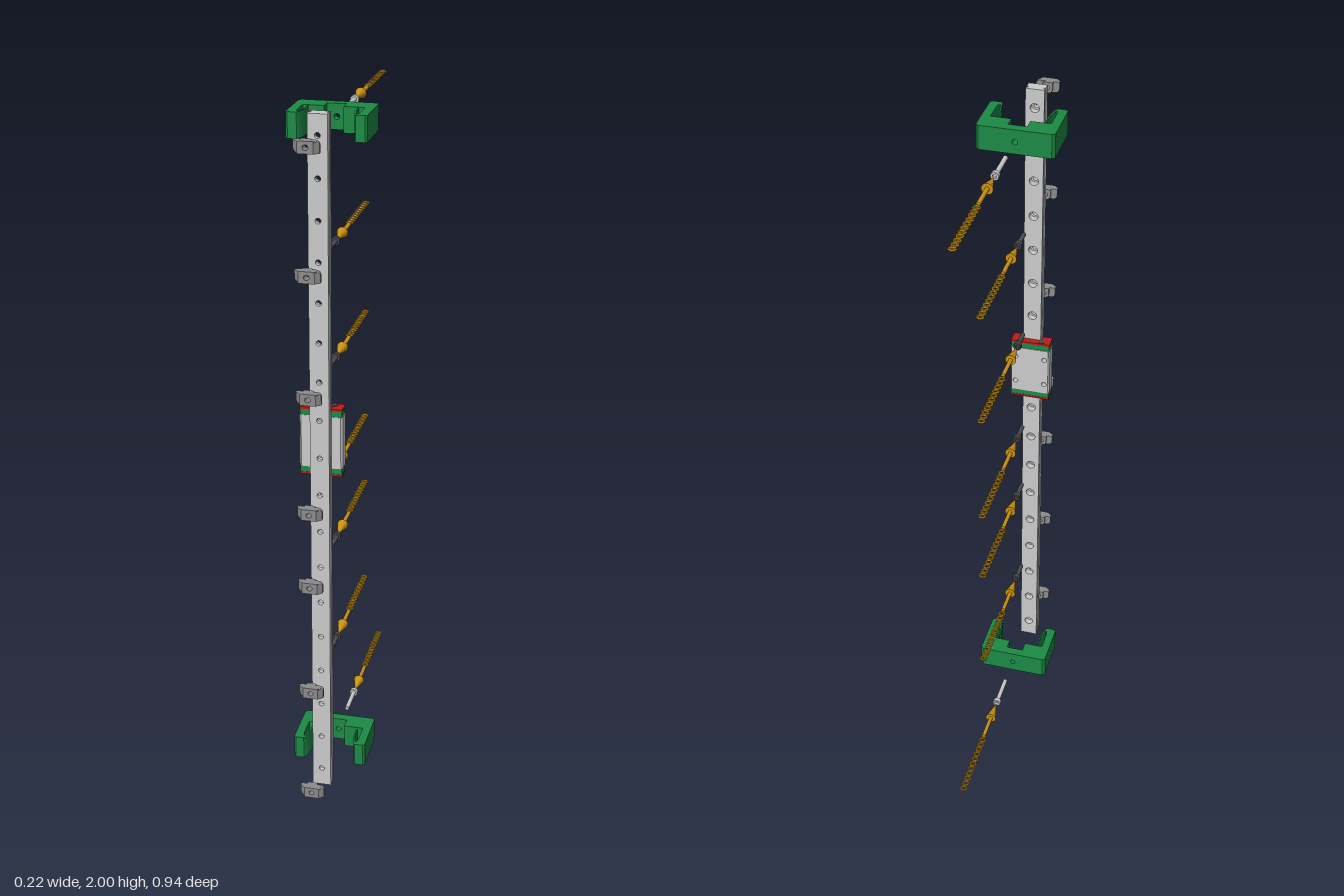
import * as THREE from 'three';
import { toCreasedNormals } from 'three/addons/utils/BufferGeometryUtils.js';

const mat = (color) => new THREE.MeshStandardMaterial({ color });
const GREY = mat(0xcccccc), NUT = mat(0x8c8c8c), DARK = mat(0x4a4a50);
const GREEN = mat(0x1b8a45), RED = mat(0xc41a1a), GOLD = mat(0xcc920f);

const PITCH = 1 / 9, FIRST = PITCH / 2, HOLES = 18;
const holeY = (i) => FIRST + i * PITCH;

function mesh(name, geometry, material, parent) {
  const m = new THREE.Mesh(toCreasedNormals(geometry, 0.6), material);
  m.name = name;
  parent.add(m);
  return m;
}

function group(name, parent, y = 0) {
  const g = new THREE.Group();
  g.name = name;
  g.position.y = y;
  parent.add(g);
  return g;
}

// Outline of [x, z] points, extruded upward from y0
function prismY(points, y0, height) {
  const s = new THREE.Shape(points.map(([x, z]) => new THREE.Vector2(x, -z)));
  return new THREE.ExtrudeGeometry(s, { depth: height, bevelEnabled: false })
    .rotateX(-Math.PI / 2).translate(0, y0, 0);
}

// Outline in x and y with round [x, y, r] holes, extruded from z0 to z1
function plateZ(shape, holes, z0, z1) {
  for (const [x, y, r] of holes) shape.holes.push(new THREE.Path().absarc(x, y, r, 0, Math.PI * 2, true));
  return new THREE.ExtrudeGeometry(shape, { depth: z1 - z0, bevelEnabled: false, curveSegments: 8 })
    .translate(0, 0, z0);
}

function rect(hx, y0, y1) {
  return new THREE.Shape([[-hx, y0], [hx, y0], [hx, y1], [-hx, y1]].map((p) => new THREE.Vector2(...p)));
}

const mirror = (pts, s) => pts.map(([x, z]) => [x * s, z]);

// Turned part pointing along +z: profile of [radius, distance back from the tip]
function turned(profile, tipZ, sides = 20) {
  return new THREE.LatheGeometry(profile.map(([r, d]) => new THREE.Vector2(r, d)), sides)
    .rotateX(-Math.PI / 2).translate(0, 0, tipZ);
}

function addRail(parent) {
  const rail = group('rail', parent);
  // Layers: counterbored top, side groove, base with small holes
  const layers = [['railTop', 0.0267, 0.0133, 0.308, 0.316], ['railGroove', 0.0215, 0.0133, 0.316, 0.323],
    ['railShoulder', 0.0267, 0.0133, 0.323, 0.328], ['railBase', 0.0267, 0.0078, 0.328, 0.343]];
  for (const [name, hx, r, z0, z1] of layers) {
    const holes = Array.from({ length: HOLES }, (_, i) => [0, holeY(i), r]);
    mesh(name, plateZ(rect(hx, 0, 2), holes, z0, z1), GREY, rail);
  }
}

function addCarriage(parent) {
  const c = group('carriage', parent, 1.098);
  const H = 0.076;
  // Steel block: drilled saddle plate and two legs
  const drill = [];
  for (const x of [-0.044, 0.044]) for (const y of [-0.044, 0.044]) drill.push([x, y, 0.0075]);
  mesh('carriagePlate', plateZ(rect(0.056, -H, H), drill, 0.285, 0.303), GREY, c);
  for (const s of [-1, 1]) {
    const leg = [[0.029, 0.303], [0.056, 0.303], [0.056, 0.287], [0.06, 0.291], [0.06, 0.322], [0.055, 0.327], [0.029, 0.327]];
    mesh('carriageLeg', prismY(mirror(leg, s), -H, 2 * H), GREY, c);
  }
  // End caps, seals and seal screws
  const u = (w, top, bottom) => [[-w, top], [w, top], [w, bottom], [0.029, bottom], [0.029, 0.306],
    [-0.029, 0.306], [-0.029, bottom], [-w, bottom]];
  for (const s of [-1, 1]) {
    const end = group('carriageEnd', c);
    mesh('endCap', prismY(u(0.058, 0.287, 0.326), s > 0 ? H : -H - 0.017, 0.017), GREEN, end);
    mesh('endSeal', prismY(u(0.059, 0.286, 0.327), s > 0 ? H + 0.017 : -H - 0.023, 0.006), RED, end);
    for (const x of [-0.032, 0.032]) {
      mesh('sealScrew', new THREE.CylinderGeometry(0.009, 0.009, 0.004, 16), DARK, end)
        .position.set(x, s * (H + 0.023), 0.297);
    }
  }
}

function addClamp(parent, y) {
  const c = group('clamp', parent, y);
  const H = 0.035;
  // Drilled bridge
  mesh('clampBridge', plateZ(rect(0.026, -H, H), [[0, 0, 0.008]], 0.103, 0.13), GREEN, c);
  // Arm with a spring finger folded back from its end
  const arm = [[0.026, 0.103], [0.1, 0.103], [0.108, 0.111], [0.108, 0.246], [0.102, 0.252], [0.078, 0.252],
    [0.073, 0.246], [0.065, 0.205], [0.065, 0.174], [0.069, 0.174], [0.069, 0.203], [0.076, 0.238],
    [0.08, 0.238], [0.083, 0.225], [0.083, 0.163], [0.026, 0.163]];
  for (const s of [-1, 1]) mesh('clampArm', prismY(mirror(arm, s), -H, 2 * H), GREEN, c);
}

function nutOutline(hx) {
  const h = 0.016, r = 0.014;
  const s = new THREE.Shape();
  s.moveTo(-hx + r, -h);
  s.lineTo(hx, -h);
  s.lineTo(hx, h - r);
  s.quadraticCurveTo(hx, h, hx - r, h);
  s.lineTo(-hx, h);
  s.lineTo(-hx, -h + r);
  s.quadraticCurveTo(-hx, -h, -hx + r, -h);
  return s;
}

function addSlotNut(parent, y) {
  const n = group('slotNut', parent, y);
  const hole = [[0, 0, 0.0075]];
  mesh('nutCollar', plateZ(nutOutline(0.016), hole, 0.44, 0.448), NUT, n);
  mesh('nutBody', plateZ(nutOutline(0.034), hole, 0.448, 0.458), NUT, n);
  // Front part tapers in at both ends
  const taper = plateZ(nutOutline(0.034), hole, 0.458, 0.47);
  const p = taper.attributes.position;
  for (let i = 0; i < p.count; i++) {
    if (p.getZ(i) > 0.465) p.setX(i, THREE.MathUtils.clamp(p.getX(i), -0.021, 0.021));
  }
  mesh('nutTaper', taper, NUT, n);
}

// Socket head bolt with its tip toward +z
function addBolt(parent, y, tipZ, length, material) {
  const L = length - 0.013;
  mesh('bolt', turned([[0, 0], [0.0055, 0], [0.0065, 0.001], [0.0065, L], [0.012, L], [0.012, length - 0.001],
    [0.011, length], [0.006, length], [0.006, length - 0.008], [0, length - 0.008]], tipZ), material, parent)
    .position.y = y;
}

// Arrow with a tail of flat links
function addArrow(parent, y, tipZ) {
  const a = group('arrow', parent, y);
  mesh('arrowHead', turned([[0, 0], [0.016, 0.064], [0.006, 0.064], [0.006, 0.144], [0, 0.144]], tipZ), GOLD, a);
  const links = 11, step = 0.0205;
  for (let i = 0; i < links; i++) {
    const link = new THREE.TorusGeometry(0.0085, 0.0028, 6, 12).rotateX(Math.PI / 2).scale(1, 1.4, 0.9);
    mesh('tailLink', link, GOLD, a).position.set(-0.001, 0, tipZ - 0.161 - i * step);
  }
}

export function createModel() {
  const model = new THREE.Group();
  model.name = 'linearRailAssembly';
  addRail(model);
  addCarriage(model);
  for (const i of [0, 3, 6, 8, 11, 14, 17]) {
    const y = holeY(i), atEnd = i === 0 || i === 17;
    addSlotNut(model, y);
    if (atEnd) addClamp(model, y);
    addBolt(model, y, atEnd ? 0.014 : 0.205, atEnd ? 0.106 : 0.068, atEnd ? GREY : DARK);
    addArrow(model, y, atEnd ? -0.095 : 0.132);
  }
  return model;
}
